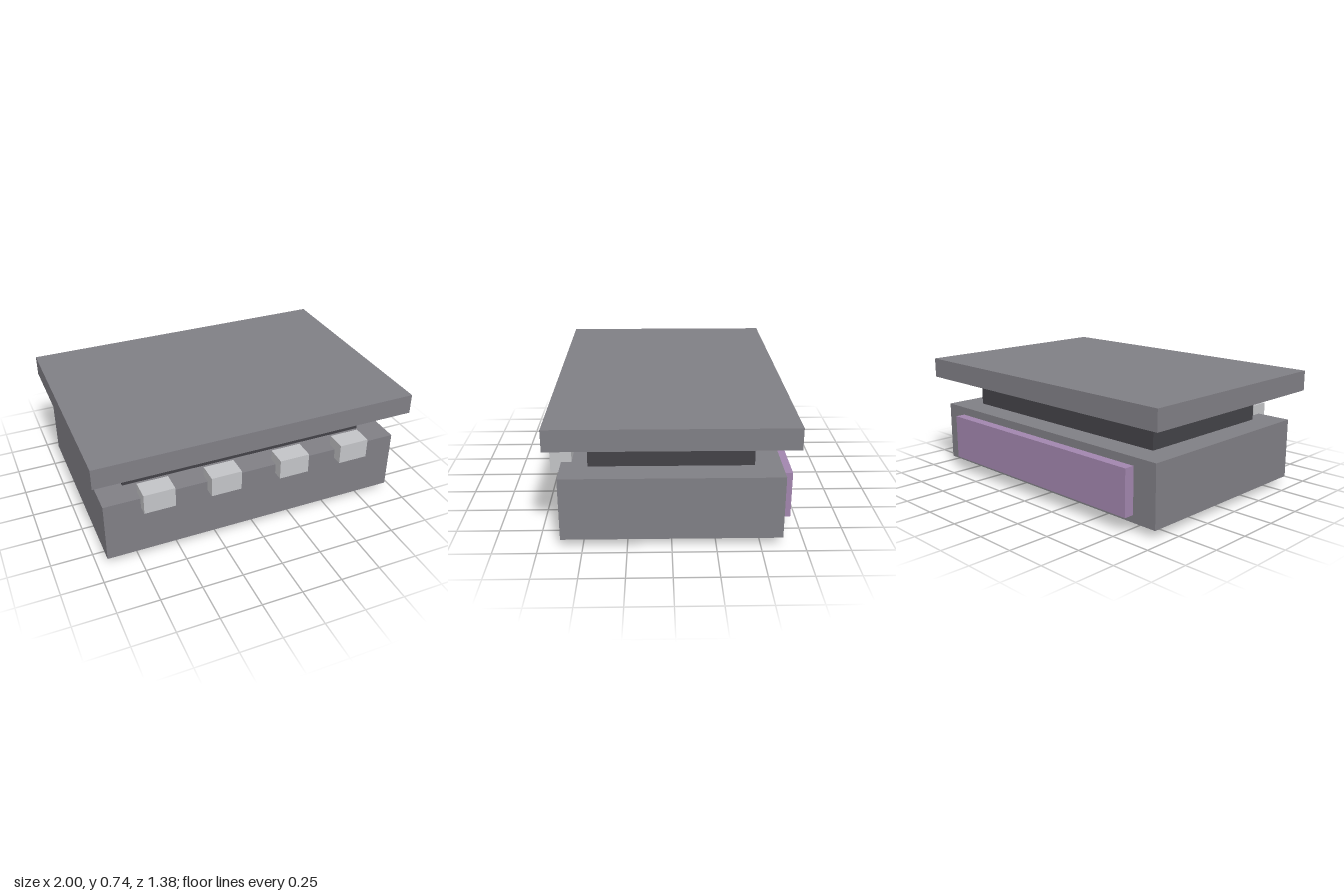
import * as THREE from 'three';

function material(name, color) {
  const m = new THREE.MeshStandardMaterial({ color });
  m.name = name;
  return m;
}

export function createModel() {
  const group = new THREE.Group();
  group.name = 'layeredCase';

  const grey = material('casingGrey', 0x807f85);
  const dark = material('darkGrey', 0x434247);
  const silver = material('lightSilver', 0xc3c4c7);
  const green = material('boardGreen', 0x4e805c);
  const purple = material('panelPurple', 0xa286ae);

  // Box given by its extents along each axis
  function slab(name, mat, [x0, x1], [y0, y1], [z0, z1]) {
    const mesh = new THREE.Mesh(new THREE.BoxGeometry(x1 - x0, y1 - y0, z1 - z0), mat);
    mesh.position.set((x0 + x1) / 2, (y0 + y1) / 2, (z0 + z1) / 2);
    mesh.name = name;
    group.add(mesh);
  }

  // Stacked layers, bottom to top
  slab('basePlate', green, [-0.78, 0.78], [0, 0.05], [-0.47, 0.47]);
  slab('body', grey, [-0.94, 0.94], [0.05, 0.425], [-0.625, 0.625]);
  slab('innerBlock', dark, [-0.78, 0.78], [0.425, 0.55], [-0.47, 0.47]);
  slab('lid', grey, [-1, 1], [0.613, 0.738], [-0.688, 0.688]);

  // Raised panel on the back
  slab('backPanel', purple, [-0.78, 0.78], [0.095, 0.375], [-0.688, -0.625]);

  // Clips straddling the front top edge
  for (const x of [-0.627, -0.22, 0.218, 0.623]) {
    slab('frontClip', silver, [x - 0.094, x + 0.094], [0.363, 0.487], [0.565, 0.688]);
  }

  return group;
}
